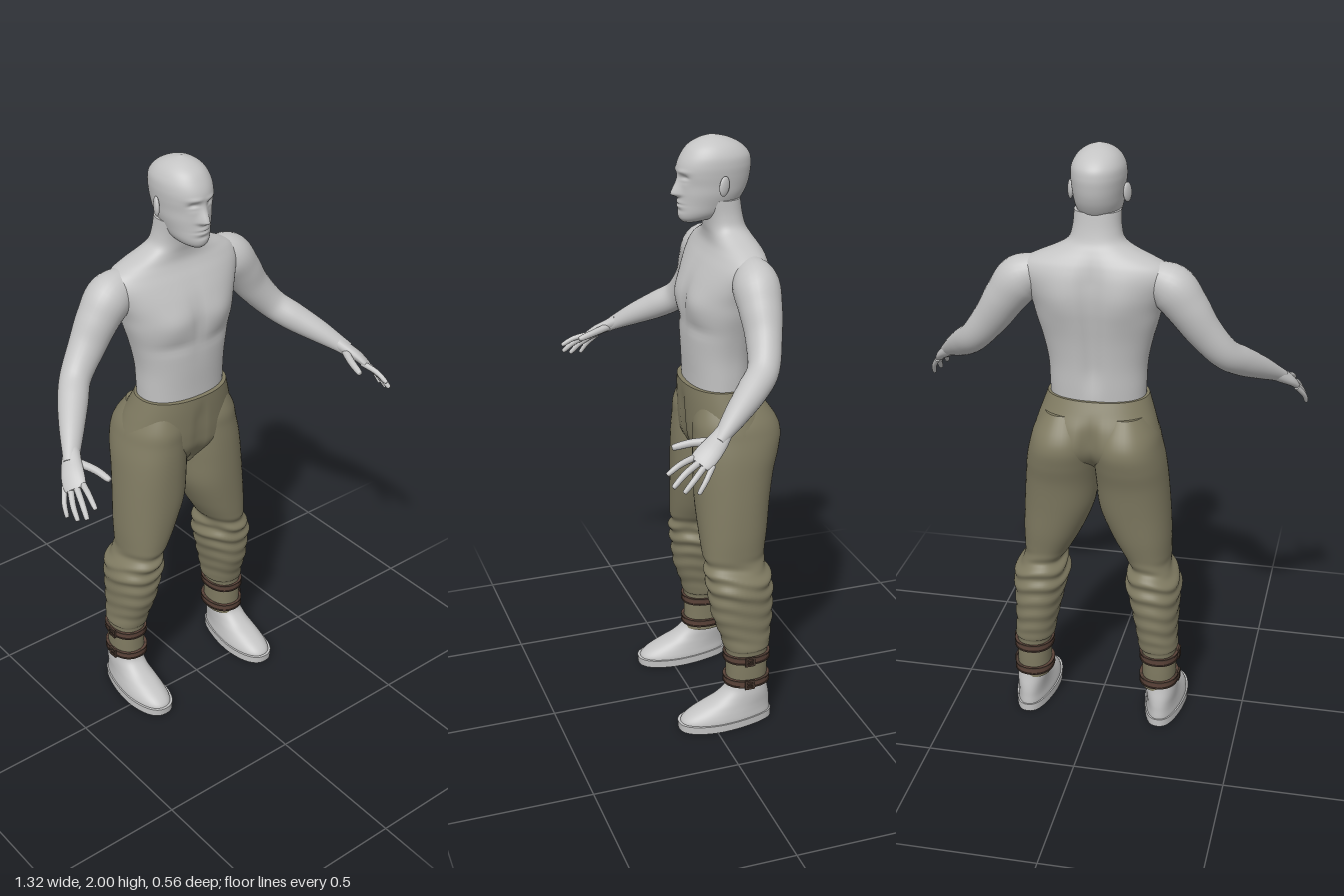
import * as THREE from 'three';

const mat = (name, color) => Object.assign(new THREE.MeshStandardMaterial({ color }), { name });
const V = (x, y, z) => new THREE.Vector3(x, y, z);
const bump = (d, s) => Math.exp(-(d * d) / (s * s));
const smooth = THREE.MathUtils.smoothstep;

// Catmull-Rom resampling of rows of numbers
function resample(rows, steps) {
  const out = [], n = rows.length;
  for (let i = 0; i < n - 1; i++) {
    const [p, a, b, q] = [rows[Math.max(i - 1, 0)], rows[i], rows[i + 1], rows[Math.min(i + 2, n - 1)]];
    for (let s = 0; s < steps; s++) {
      const t = s / steps;
      out.push(a.map((v, k) => {
        const c1 = b[k] - p[k];
        const c2 = 2 * p[k] - 5 * v + 4 * b[k] - q[k];
        const c3 = 3 * (v - b[k]) + q[k] - p[k];
        return v + 0.5 * t * (c1 + t * (c2 + t * c3));
      }));
    }
  }
  out.push(rows[n - 1]);
  return out;
}

// Closed skin over rings that run counter-clockwise about the direction of travel
function skin(rings) {
  const pos = [], index = [], n = rings[0].length;
  rings.forEach(r => r.forEach(p => pos.push(p.x, p.y, p.z)));
  for (let i = 0; i < rings.length - 1; i++) {
    for (let j = 0; j < n; j++) {
      const a = i * n + j, b = i * n + (j + 1) % n;
      index.push(a, b, b + n, a, b + n, a + n);
    }
  }
  [rings[0], rings[rings.length - 1]].forEach((r, end) => {
    const start = pos.length / 3;
    const c = r.reduce((s, p) => s.add(p), V(0, 0, 0)).divideScalar(n);
    [...r, c].forEach(p => pos.push(p.x, p.y, p.z));
    for (let j = 0; j < n; j++) {
      const a = start + j, b = start + (j + 1) % n;
      index.push(start + n, ...(end ? [a, b] : [b, a]));
    }
  });
  const g = new THREE.BufferGeometry();
  g.setAttribute('position', new THREE.Float32BufferAttribute(pos, 3));
  g.setIndex(index);
  g.computeVertexNormals();
  return g;
}

// Upright loft; rows are [y, xMin, xMax, zFront, zBack], listed upwards
function loft(rows, { steps = 5, seg = 40, n = 2.2, deform } = {}) {
  const pw = v => Math.sign(v) * Math.abs(v) ** (2 / n);
  return skin(resample(rows, steps).map(([y, x0, x1, zf, zb]) =>
    Array.from({ length: seg }, (_, j) => {
      const a = j / seg * Math.PI * 2;
      const p = V((x0 + x1) / 2 + (x1 - x0) / 2 * pw(Math.cos(a)), y,
        (zf + zb) / 2 - (zf - zb) / 2 * pw(Math.sin(a)));
      if (deform) deform(p, a);
      return p;
    })));
}
const symmetric = rows => rows.map(([y, w, zf, zb]) => [y, -w, w, zf, zb]);

// Limb along a path; stations are [x, y, z, halfWidth, halfThickness]
function sweep(stations, side, steps = 5, seg = 20) {
  const rows = resample(stations, steps), at = i => V(...rows[i].slice(0, 3));
  return skin(rows.map((r, i) => {
    const t = at(Math.min(i + 1, rows.length - 1)).sub(at(Math.max(i - 1, 0))).normalize();
    const u = side.clone().addScaledVector(t, -side.dot(t)).normalize();
    const v = t.clone().cross(u);
    return Array.from({ length: seg }, (_, j) => {
      const a = j / seg * Math.PI * 2;
      return at(i).addScaledVector(u, r[3] * Math.cos(a)).addScaledVector(v, r[4] * Math.sin(a));
    });
  }));
}

function mirrored(geo) {
  const g = geo.clone().scale(-1, 1, 1), ix = g.index;
  for (let i = 0; i < ix.count; i += 3) {
    const b = ix.getX(i + 1);
    ix.setX(i + 1, ix.getX(i + 2));
    ix.setX(i + 2, b);
  }
  return g;
}

export function createModel() {
  const skinMat = mat('skin grey', 0xc4c4c4), cloth = mat('olive cloth', 0x807b62);
  const leather = mat('brown leather', 0x5a4238), metal = mat('dark buckle', 0x47382f);
  const model = new THREE.Group();
  model.name = 'standingMan';
  const add = (name, geo, m) => {
    const mesh = new THREE.Mesh(geo, m);
    mesh.name = name;
    model.add(mesh);
  };
  const pair = (name, geo, m) => {
    add(name + 'Left', geo, m);
    add(name + 'Right', mirrored(geo), m);
  };

  // Torso and neck, with chest, spine furrow and shoulder blades
  add('torso', loft(symmetric([
    [1.15, .155, .01, -.19], [1.22, .158, .012, -.195], [1.3, .162, .016, -.2], [1.38, .178, .018, -.21],
    [1.45, .198, .02, -.222], [1.5, .21, .016, -.23], [1.55, .23, 0, -.233], [1.6, .248, -.025, -.229],
    [1.635, .235, -.045, -.22], [1.66, .19, -.055, -.209], [1.685, .13, -.056, -.195],
    [1.71, .09, -.052, -.182], [1.75, .077, -.045, -.172], [1.8, .074, -.03, -.165],
  ]), {
    seg: 64, n: 2.25, deform: p => {
      const x = Math.abs(p.x);
      if (p.z < -.13) {
        p.z += .018 * bump(x, .028) * smooth(p.y, 1.17, 1.3) * (1 - smooth(p.y, 1.58, 1.7));
        p.z -= .008 * bump(x - .1, .05) * bump(p.y - 1.53, .08);
      } else if (p.z > -.08) {
        p.z += .01 * bump(x - .09, .06) * bump(p.y - 1.47, .05) - .007 * bump(x, .02) * bump(p.y - 1.47, .09);
        p.z -= .005 * bump(p.y - 1.39, .02) * bump(x - .09, .07);
      }
    },
  }), skinMat);

  // Head with brow, eye sockets, nose and lips
  add('head', loft(symmetric([
    [1.728, .022, .022, -.04], [1.74, .043, .034, -.09], [1.76, .058, .038, -.13], [1.79, .068, .037, -.162],
    [1.82, .076, .037, -.182], [1.85, .08, .037, -.194], [1.88, .084, .041, -.2], [1.91, .086, .039, -.202],
    [1.94, .082, .026, -.195], [1.968, .066, .004, -.168], [1.988, .04, -.03, -.128], [1.999, .008, -.066, -.082],
  ]), {
    seg: 80, steps: 8, n: 2.1, deform: p => {
      if (p.z < -.03) return;
      const x = Math.abs(p.x), y = p.y;
      const ridge = smooth(1.885 - y, 0, .07) * (1 - smooth(1.82 - y, 0, .016));
      p.z += .027 * ridge * bump(x, .009 + .008 * ridge);
      p.z -= .013 * bump(x - .031, .017) * bump(y - 1.872, .012);
      p.z += .006 * bump(x - .031, .014) * bump(y - 1.867, .006);
      p.z += .004 * bump(x - .03, .022) * bump(y - 1.893, .007);
      p.z += .006 * bump(x, .024) * bump(y - 1.786, .012) - .007 * bump(x, .024) * bump(y - 1.786, .0035);
      p.z -= .004 * bump(x, .025) * bump(y - 1.767, .007);
    },
  }), skinMat);
  pair('ear', new THREE.SphereGeometry(1, 20, 14).scale(.009, .032, .02)
    .rotateX(-.15).rotateY(.4).translate(.09, 1.852, -.085), skinMat);

  // Arms and hands
  pair('arm', sweep([
    [.15, 1.61, -.135, .045, .04], [.235, 1.575, -.135, .076, .072], [.29, 1.51, -.133, .07, .068],
    [.34, 1.435, -.125, .061, .056], [.405, 1.355, -.1, .051, .05], [.455, 1.31, -.045, .049, .048],
    [.51, 1.265, .025, .04, .038], [.555, 1.225, .085, .029, .025], [.572, 1.208, .11, .026, .02],
  ], V(1, .5, -.4), 6, 28), skinMat);
  const across = V(.04, -.02, -.04);
  pair('palm', sweep([
    [.55, 1.229, .08, .027, .024], [.572, 1.208, .11, .033, .021], [.59, 1.19, .14, .038, .018],
    [.603, 1.17, .168, .038, .014], [.609, 1.162, .181, .03, .009],
  ], across), skinMat);
  const finger = (name, a, mid, b, r) => pair(name, sweep([
    [...a, r * 1.1, r * 1.1], [...mid, r, r],
    [...b.map((v, k) => mid[k] + (v - mid[k]) * .88), r * .8, r * .8], [...b, r * .25, r * .25],
  ], across, 4, 12), skinMat);
  finger('indexFinger', [.582, 1.178, .175], [.595, 1.165, .232], [.603, 1.14, .278], .0095);
  finger('middleFinger', [.6, 1.17, .17], [.617, 1.142, .226], [.628, 1.107, .268], .01);
  finger('ringFinger', [.612, 1.163, .158], [.634, 1.128, .202], [.642, 1.092, .238], .0095);
  finger('littleFinger', [.622, 1.158, .142], [.645, 1.122, .172], [.653, 1.087, .197], .0085);
  finger('thumb', [.562, 1.208, .105], [.532, 1.2, .172], [.517, 1.186, .234], .0125);

  // Trousers: hips with fly crease and rear cleft, then legs gathered below the knee
  add('trouserHips', loft(symmetric([
    [.9, .06, -.05, -.14], [.94, .15, -.02, -.19], [.99, .212, .012, -.243], [1.04, .214, .021, -.262],
    [1.1, .198, .025, -.25], [1.15, .181, .027, -.224], [1.19, .167, .027, -.203],
  ]), {
    seg: 64, deform: p => {
      const low = 1 - smooth(p.y, 1.04, 1.16);
      if (p.z < -.12) p.z += .035 * bump(p.x, .025) * low;
      if (p.z > -.04) p.z -= .009 * bump(p.x, .012) * (1 - smooth(p.y, 1.1, 1.19));
    },
  }), cloth);
  pair('trouserLeg', loft([
    [.13, .165, .278, -.06, -.2], [.2, .164, .279, -.06, -.203], [.272, .16, .279, -.058, -.204],
    [.287, .149, .285, -.051, -.211], [.33, .143, .281, -.04, -.216], [.4, .128, .283, -.015, -.224],
    [.47, .113, .285, -.005, -.225], [.52, .102, .287, 0, -.222], [.56, .108, .27, .006, -.214],
    [.59, .112, .251, .003, -.201], [.63, .088, .251, .01, -.205], [.7, .05, .251, .015, -.218],
    [.8, .01, .246, .02, -.232], [.9, 0, .238, .022, -.248], [.97, -.004, .23, .022, -.267],
    [1.03, -.004, .217, .02, -.277], [1.08, .002, .203, .018, -.262], [1.14, .03, .17, 0, -.22],
  ], {
    seg: 48, steps: 7, deform: (p, a) => {
      const folds = smooth(p.y, .28, .34) * (1 - smooth(p.y, .58, .64));
      const upper = .4 + .6 * bump(p.y - .54, .07);
      const w = 1 + .055 * folds * upper * Math.sin(p.y * 115 + 2.2 * Math.sin(a + .6) + Math.sin(3 * a));
      p.x = .2 + (p.x - .2) * w;
      p.z = -.11 + (p.z + .11) * w;
    },
  }), cloth);

  // Ankle straps with square buckles on the outer side
  const square = r => [[-r, -r], [r, -r], [r, r], [-r, r]].map(p => new THREE.Vector2(...p));
  const frame = new THREE.Shape(square(.017));
  frame.holes.push(new THREE.Path(square(.01)));
  for (const [level, y] of [['upper', .25], ['lower', .16]]) {
    const band = (h, o) => loft(
      [-h, h].map(d => [y + d, .162 - o, .28 + o, -.058 + o, -.204 - o]), { steps: 1, seg: 48 });
    pair(level + 'Strap', band(.013, .006), leather);
    pair(level + 'StrapEdgeTop', band(.0025, .0085).translate(0, .0105, 0), metal);
    pair(level + 'StrapEdgeBottom', band(.0025, .0085).translate(0, -.0105, 0), metal);
    const buckle = new THREE.ExtrudeGeometry(frame, { depth: .007, bevelEnabled: false })
      .rotateY(Math.PI / 2).translate(.285, y, -.12);
    add(level + 'BuckleLeft', buckle, metal);
    add(level + 'BuckleRight', buckle.clone().translate(-.577, 0, 0), metal);
    pair(level + 'BucklePin', new THREE.BoxGeometry(.006, .005, .024).translate(.289, y, -.12), metal);
  }

  // Shoes: flat sole and rounded upper, narrower at the heel
  const taper = p => {
    const f = 1 - .2 * (1 - smooth(p.z, -.2, 0)) * (1 - smooth(p.y, .04, .12));
    p.x = .231 + (p.x - .231) * f;
  };
  pair('shoeSole', loft([[0, .157, .305, .117, -.217], [.027, .157, .305, .119, -.218]],
    { steps: 1, n: 2.4, seg: 48, deform: taper }), skinMat);
  pair('shoeUpper', loft([
    [.02, .162, .3, .112, -.213], [.036, .163, .299, .105, -.213], [.054, .167, .295, .082, -.212],
    [.075, .172, .289, .04, -.211], [.098, .176, .284, -.012, -.208], [.128, .177, .28, -.052, -.202],
    [.16, .178, .276, -.064, -.197],
  ], { n: 2.3, seg: 48, deform: taper }), skinMat);

  return model;
}
